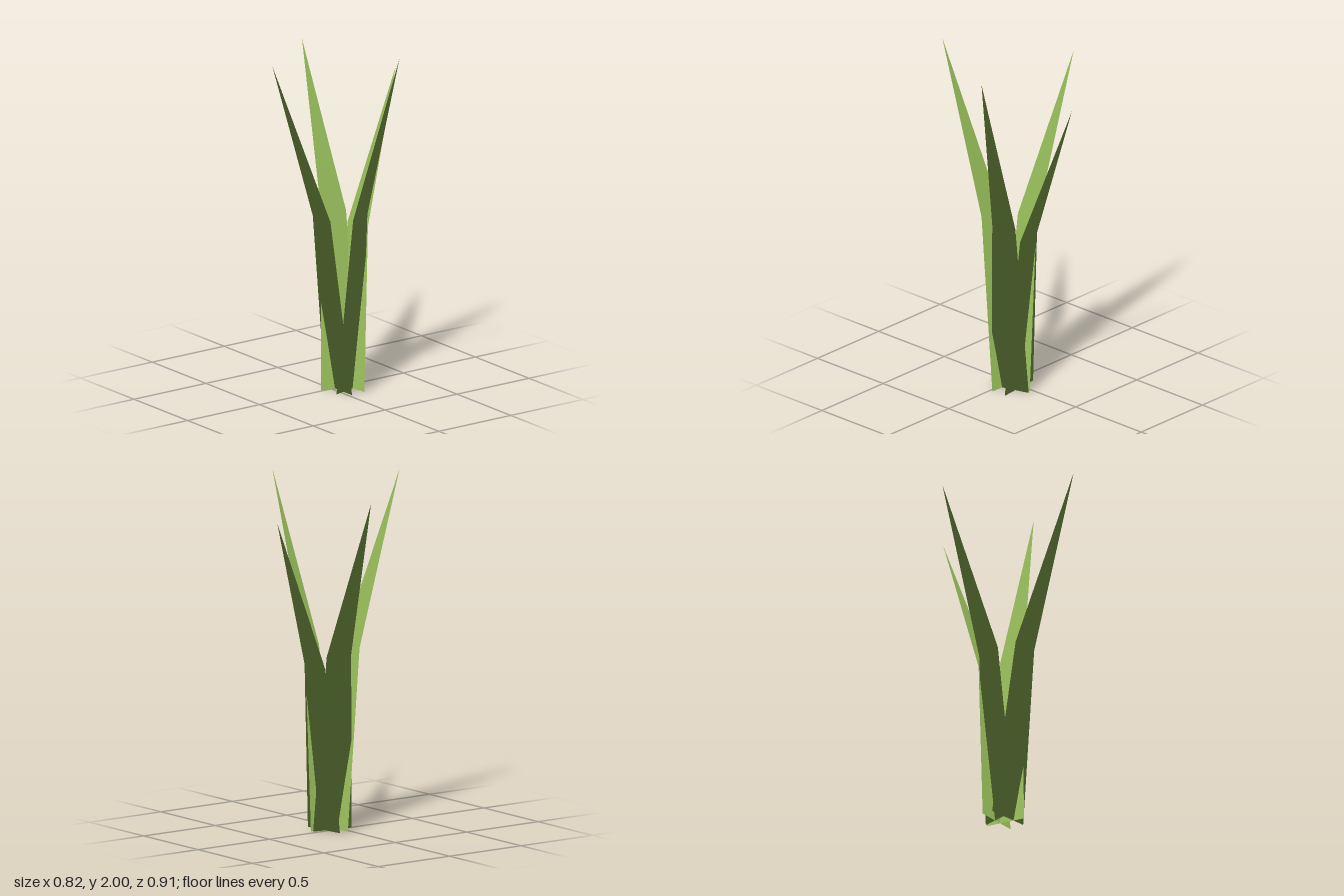
import * as THREE from 'three';

// Each blade: two base corners, two bend corners, one tip
const blades = {
  frontBlade: [[-0.09, 0, -0.02], [0.165, 0, -0.02], [-0.033, 1.02, 0.105], [0.125, 1.02, 0.1], [0.062, 1.98, 0.457]],
  backBlade: [[0.16, 0, -0.11], [-0.1, 0, -0.083], [0.105, 0.94, -0.175], [-0.055, 0.94, -0.155], [-0.016, 1.79, -0.458]],
  leftBlade: [[0.103, 0, 0.042], [0.04, 0, -0.18], [0.17, 1.02, -0.024], [0.124, 1.02, -0.157], [0.411, 2, -0.167]],
  rightBlade: [[0.026, 0, -0.175], [-0.006, 0, 0.07], [-0.06, 1, -0.146], [-0.078, 1, 0.012], [-0.411, 1.92, -0.102]],
};

// Lower strip and a pointed upper part that leans outward; the faces look inward and up
function makeBlade(corners) {
  const geometry = new THREE.BufferGeometry();
  geometry.setAttribute('position', new THREE.Float32BufferAttribute(corners.flat(), 3));
  geometry.setIndex([0, 3, 1, 0, 2, 3, 2, 4, 3]);
  geometry.computeVertexNormals();
  // Tilt the normals skyward for soft foliage shading
  const normals = geometry.attributes.normal;
  for (let i = 0; i < normals.count; i++) normals.setY(i, normals.getY(i) + 1.3);
  geometry.normalizeNormals();
  return geometry;
}

export function createModel() {
  const group = new THREE.Group();
  group.name = 'grassTuft';
  const green = new THREE.MeshStandardMaterial({ color: 0x86a84f, side: THREE.DoubleSide });
  for (const [name, corners] of Object.entries(blades)) {
    const blade = new THREE.Mesh(makeBlade(corners), green);
    blade.name = name;
    group.add(blade);
  }
  return group;
}
